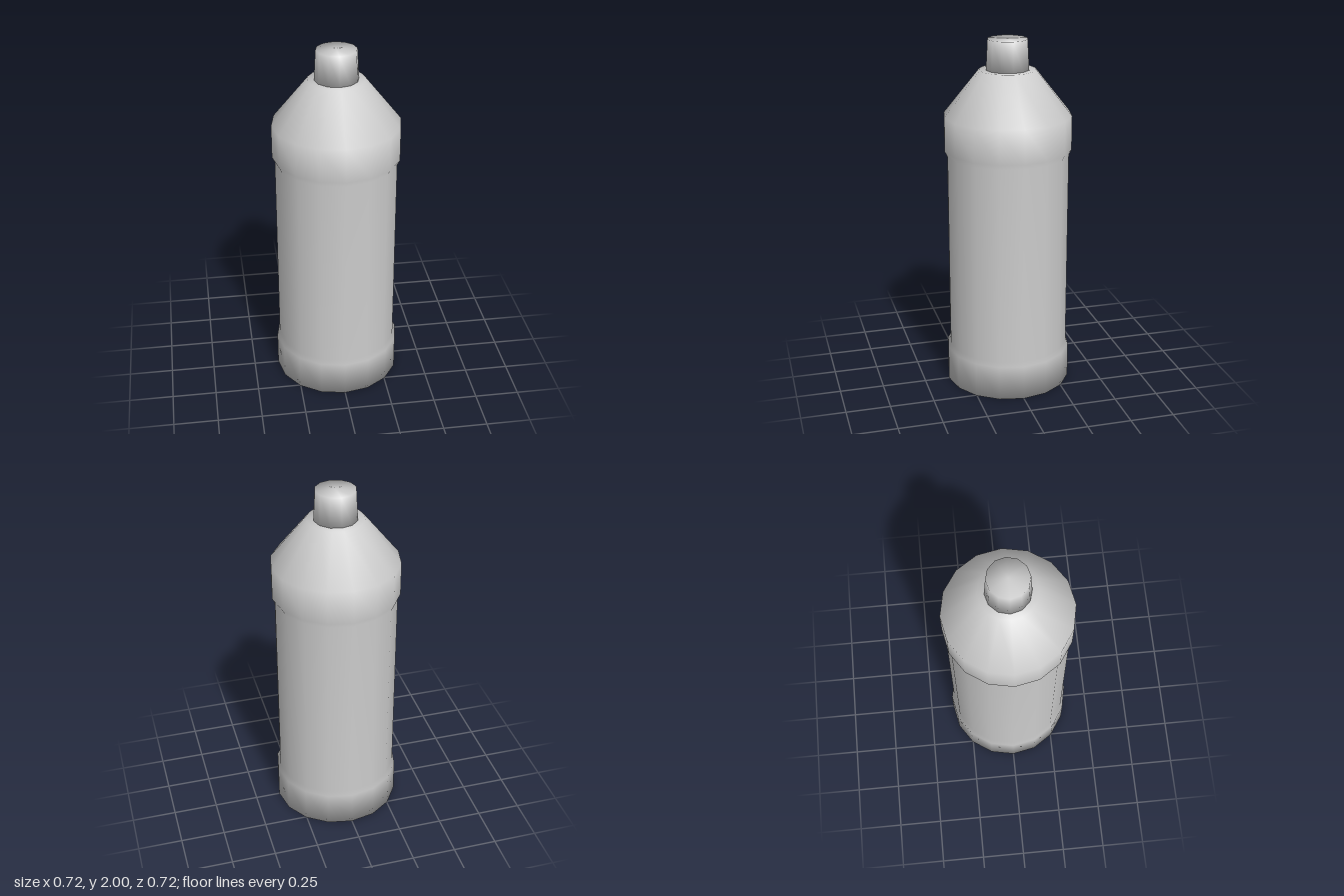
import * as THREE from 'three';

const material = new THREE.MeshStandardMaterial({ color: 0xcccccc });

// Turn a [radius, height] profile, listed bottom to top, around the y axis
function turned(name, profile, sides) {
  const points = profile.map(([r, y]) => new THREE.Vector2(r, y));
  const mesh = new THREE.Mesh(new THREE.LatheGeometry(points, sides), material);
  mesh.name = name;
  return mesh;
}

export function createModel() {
  const group = new THREE.Group();
  group.name = 'bottle';

  // Body: wide base band, recessed grip, wide upper band, sloping shoulder
  group.add(turned('body', [
    [0, 0], [0.358, 0], [0.358, 0.2],
    [0.343, 0.225], [0.343, 1.36],
    [0.358, 1.39], [0.358, 1.58],
    [0.158, 1.832], [0, 1.832],
  ], 16));

  // Cap: slightly tapered, closed at both ends
  group.add(turned('cap', [
    [0, 1.83], [0.122, 1.83], [0.113, 2], [0, 2],
  ], 12));

  return group;
}
